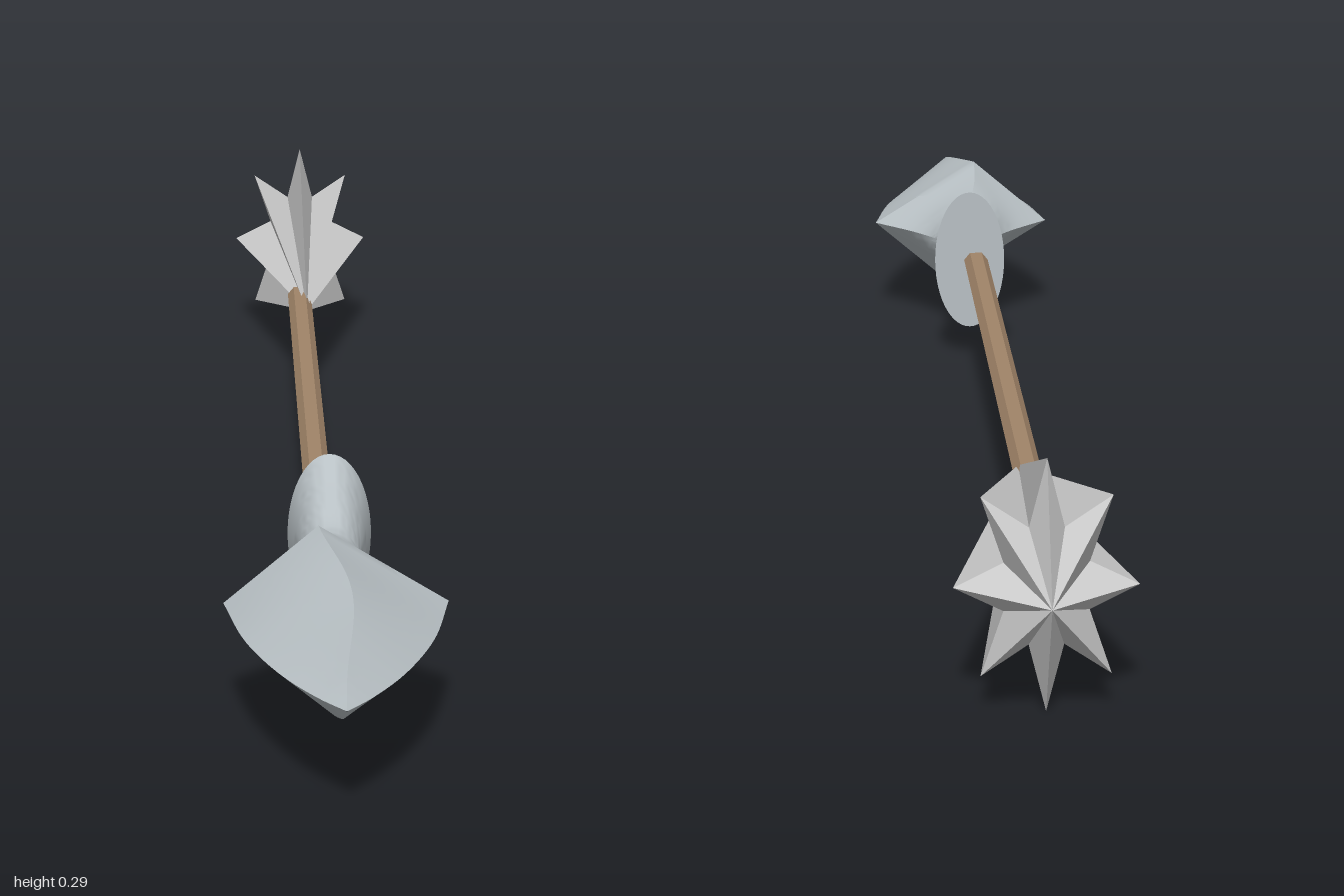
import * as THREE from 'three';
import { toCreasedNormals } from 'three/addons/utils/BufferGeometryUtils.js';

const AXIS_Y = 0.143;

// Skin closed rings of points; rings run toward +z, each counter-clockwise seen from +z
function skin(rings) {
  const pos = [];
  const n = rings[0].length;
  for (let i = 0; i < rings.length - 1; i++) {
    const a = rings[i], b = rings[i + 1];
    for (let j = 0; j < n; j++) {
      const k = (j + 1) % n;
      pos.push(...a[j], ...a[k], ...b[j], ...a[k], ...b[k], ...b[j]);
    }
  }
  const g = new THREE.BufferGeometry();
  g.setAttribute('position', new THREE.Float32BufferAttribute(pos, 3));
  return g;
}

// Stations [z, half width, half height] smoothed into a curve
const stations = (list, n) =>
  new THREE.CatmullRomCurve3(list.map((p) => new THREE.Vector3(...p))).getPoints(n);

// One head section: an ellipse blended into a rhombus whose top and bottom corners are skewed
function headRing(z, w, h, skew, sharp, n = 48) {
  return Array.from({ length: n }, (_, j) => {
    const a = (j / n) * Math.PI * 2;
    const c = Math.cos(a), s = Math.sin(a);
    const f = THREE.MathUtils.lerp(1, 1 / (Math.abs(c) + Math.abs(s)), sharp);
    return [(w * c + skew * s) * f, h * s * f, z];
  });
}

function createHead() {
  // Flared socket, round at the back and turning into the blade
  const socket = stations([
    [0.45, 0.05, 0.1], [0.5, 0.041, 0.07], [0.56, 0.036, 0.044],
    [0.61, 0.065, 0.058], [0.68, 0.128, 0.092],
  ], 28).map((p) => {
    const k = THREE.MathUtils.smoothstep(p.x, 0.54, 0.66);
    return headRing(p.x, p.y, p.z, -0.02 * k, k);
  });
  // Blade with an S-shaped ridge
  const blade = stations([
    [0.68, 0.128, 0.092], [0.8, 0.104, 0.072], [0.9, 0.066, 0.047],
    [0.965, 0.028, 0.023], [1, 0.0005, 0.0005],
  ], 32).slice(1).map((p) => {
    const t = (p.x - 0.68) / 0.32;
    const skew = (-0.02 * Math.cos(t * Math.PI * 1.5) + 0.012 * Math.sin(t * Math.PI)) * (1 - t);
    return headRing(p.x, p.y, p.z, skew, 1);
  });
  const rear = headRing(0.45, 0.0005, 0.0005, 0, 0);
  return toCreasedNormals(skin([rear, ...socket, ...blade]), 0.5);
}

// Eight-pointed star drawn out to a point at each end
function createFletching() {
  const star = (z, scale) => Array.from({ length: 16 }, (_, j) => {
    const r = scale * (j % 2 ? 0.5 : 1);
    const a = (j / 16) * Math.PI * 2;
    return [0.1 * r * Math.cos(a), 0.143 * r * Math.sin(a), z];
  });
  const g = skin([star(-1, 0.001), star(-0.925, 1), star(-0.51, 0.001)]);
  g.computeVertexNormals();
  return g;
}

export function createModel() {
  const group = new THREE.Group();
  const add = (name, geometry, color, flatShading = false) => {
    const mesh = new THREE.Mesh(geometry, new THREE.MeshStandardMaterial({ color, flatShading }));
    mesh.name = name;
    mesh.position.y = AXIS_Y;
    group.add(mesh);
    return mesh;
  };

  add('head', createHead(), 0xb8c0c4);
  add('fletching', createFletching(), 0xcccccc, true);

  // Slim six-sided shaft
  const shaftGeometry = new THREE.CylinderGeometry(1, 1, 1.08, 6)
    .rotateX(Math.PI / 2)
    .rotateZ(Math.PI / 6)
    .scale(0.017, 0.012, 1);
  const shaft = add('shaft', shaftGeometry, 0xa08468, true);
  shaft.position.x = -0.009;
  shaft.position.z = -0.06;

  return group;
}
